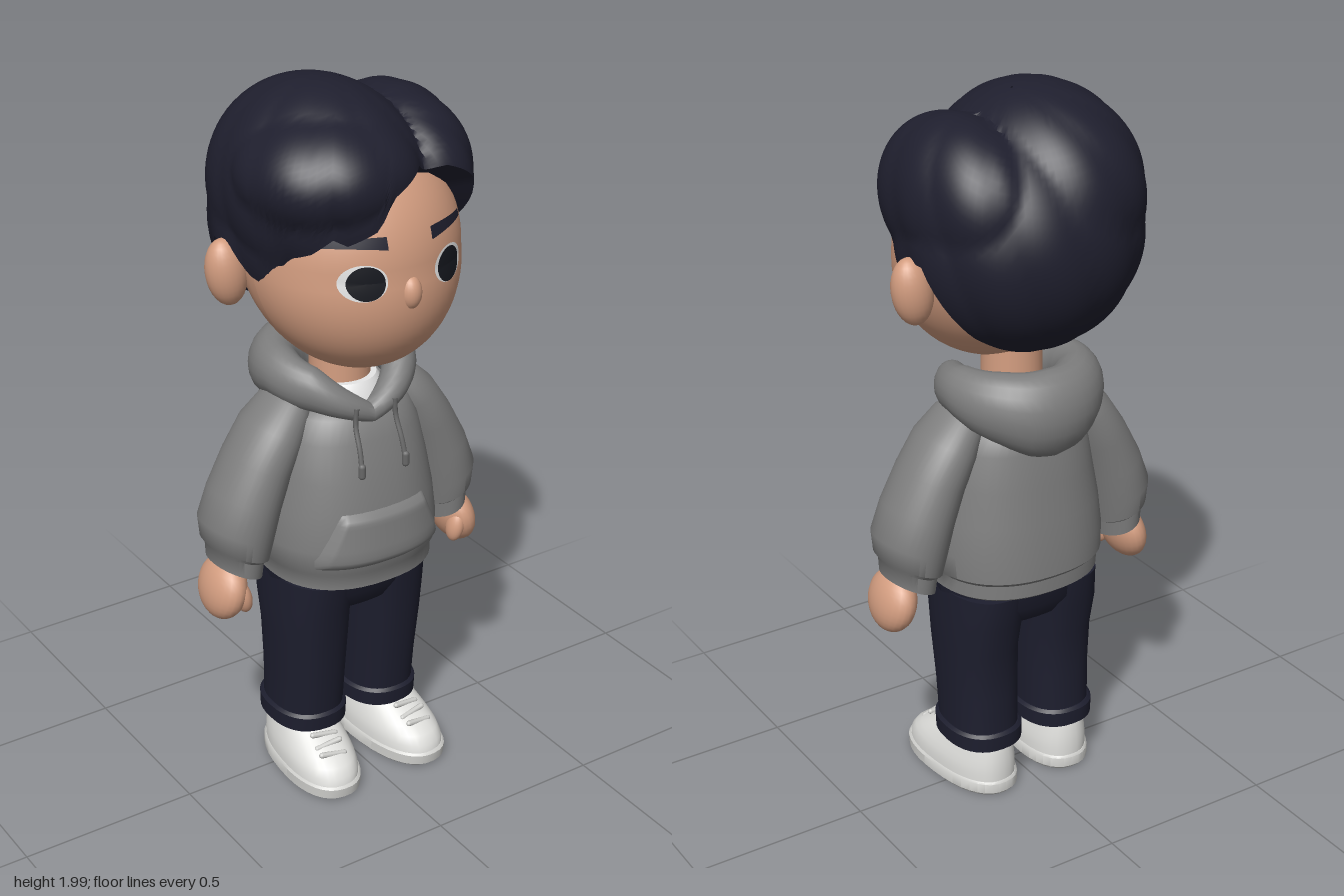
import * as THREE from 'three';
import { toCreasedNormals } from 'three/addons/utils/BufferGeometryUtils.js';

const mat = (name, color) => Object.assign(new THREE.MeshStandardMaterial({ color }), { name });
const V = (x, y, z) => new THREE.Vector3(x, y, z);

// Skins a list of rings; ring points run from +z towards +x, rings run upward
function skin(rings, { cap = true, loop = false, crease = 0.7 } = {}) {
  const n = rings[0].length, pos = [], idx = [];
  rings.forEach(r => r.forEach(p => pos.push(p.x, p.y, p.z)));
  const rows = loop ? rings.length : rings.length - 1;
  for (let i = 0; i < rows; i++) for (let j = 0; j < n; j++) {
    const a = i * n + j, b = i * n + (j + 1) % n, k = ((i + 1) % rings.length) * n;
    const c = k + (j + 1) % n, d = k + j;
    idx.push(a, b, c, a, c, d);
  }
  if (cap && !loop) [0, rings.length - 1].forEach((i, end) => {
    const m = rings[i].reduce((s, p) => s.add(p), V(0, 0, 0)).divideScalar(n);
    const ci = pos.length / 3;
    pos.push(m.x, m.y, m.z);
    for (let j = 0; j < n; j++) {
      const a = i * n + j, b = i * n + (j + 1) % n;
      end ? idx.push(a, b, ci) : idx.push(b, a, ci);
    }
  });
  const g = new THREE.BufferGeometry();
  g.setAttribute('position', new THREE.Float32BufferAttribute(pos, 3));
  g.setIndex(idx);
  return toCreasedNormals(g, crease);
}

// Rounded horizontal section: half width rx, front zf, back zb, optional sideways tilt
const pw = (v, p) => Math.sign(v) * Math.abs(v) ** p;
function section(cx, y, rx, zf, zb, { p = 1, tilt = 0, n = 36 } = {}) {
  return Array.from({ length: n }, (_, j) => {
    const a = j / n * Math.PI * 2, u = rx * pw(Math.sin(a), p);
    return V(cx + u * Math.cos(tilt), y + u * Math.sin(tilt), (zf + zb) / 2 + (zf - zb) / 2 * pw(Math.cos(a), p));
  });
}

// Linear lookup in rows of [key, ...values]
function lookup(table, t) {
  let i = 0;
  while (i < table.length - 2 && t > table[i + 1][0]) i++;
  const a = table[i], b = table[i + 1];
  const f = THREE.MathUtils.clamp((t - a[0]) / (b[0] - a[0]), 0, 1);
  return a.slice(1).map((v, k) => v + (b[k + 1] - v) * f);
}

// Torso rows: y, half width, front z, back z
const TORSO = [[0.635, 0.222, 0.215, -0.19], [0.645, 0.235, 0.232, -0.203], [0.685, 0.236, 0.232, -0.203],
  [0.697, 0.246, 0.24, -0.214], [0.76, 0.25, 0.24, -0.21], [0.85, 0.24, 0.23, -0.2], [0.95, 0.222, 0.212, -0.185],
  [1.05, 0.203, 0.185, -0.172], [1.11, 0.175, 0.16, -0.155], [1.14, 0.12, 0.12, -0.12]];
const TP = 0.85;
function torsoZ(x, y) {
  const [rx, zf, zb] = lookup(TORSO, y);
  const k = Math.max(0, 1 - Math.min(1, Math.abs(x) / rx) ** (2 / TP)) ** (TP / 2);
  return (zf + zb) / 2 + (zf - zb) / 2 * k;
}

// Head surface: an egg whose jaw is pushed forward
const jaw = y => 0.06 * Math.max(0, (1.56 - y) / 0.31);
const faceZ = (x, y) => 0.04 + jaw(y) + 0.285 * Math.sqrt(Math.max(0, 1 - (x / 0.29) ** 2 - ((y - 1.56) / 0.31) ** 2));

// Hair volumes: centre and radii of skull, swept side, fringe and smaller side
const LOBES = [[0, 1.62, -0.035, 0.322, 0.315, 0.31], [-0.07, 1.72, 0, 0.262, 0.277, 0.325],
  [-0.105, 1.79, 0.1, 0.235, 0.16, 0.235], [0.16, 1.73, 0, 0.172, 0.212, 0.27]];
function hairRadius(d) {
  let best = 0;
  for (const [x, y, z, a, b, c] of LOBES) {
    const s = V(1 / a, 1 / b, 1 / c), o = V(-x, 1.64 - y, -z).multiply(s), e = d.clone().multiply(s);
    const A = e.dot(e), B = o.dot(e), D = B * B - A * (o.dot(o) - 1);
    if (D > 0) best = Math.max(best, (-B + Math.sqrt(D)) / A);
  }
  return best;
}
// Hairline: azimuth from the front, elevation of the edge, in degrees
const HAIRLINE = [[-180, -64], [-140, -55], [-125, -42], [-115, -25], [-105, -7], [-92, -7], [-82, -20], [-72, -23],
  [-63, -13], [-55, -4], [-45, 0], [-36, 7], [-30, 4], [-17, 10], [-10, 22], [0, 27], [12, 33], [30, 28], [45, 17],
  [55, 2], [62, -8], [72, -22], [82, -20], [92, -7], [105, -7], [115, -25], [125, -42], [140, -55], [180, -64]];
function hairGeometry() {
  const rings = [], n = 120, rows = 36, rad = Math.PI / 180;
  for (let i = -1; i <= rows; i++) {
    rings.push(Array.from({ length: n }, (_, j) => {
      const deg = -180 + 360 * j / n, edge = lookup(HAIRLINE, deg)[0];
      const e = (edge + (89.5 - edge) * Math.max(0, i) / rows) * rad, a = deg * rad;
      const d = V(Math.sin(a) * Math.cos(e), Math.sin(e), Math.cos(a) * Math.cos(e));
      const lock = 0.022 * Math.abs(Math.sin(a * 6 + e * 2.2)) * Math.cos(e) ** 2;
      const r = hairRadius(d) * (0.99 + lock) * (i < 0 ? 0.78 : 1);
      return d.multiplyScalar(r).add(V(0, 1.64, 0));
    }));
  }
  return skin(rings, { cap: false, crease: 0.6 });
}

export function createModel() {
  const root = new THREE.Group();
  const M = {
    skin: mat('skin', 0xd39d80), hair: mat('hair', 0x1f1f2e), hoodie: mat('hoodie grey', 0x7e7e7e),
    cord: mat('cord grey', 0x686868), pants: mat('navy trousers', 0x1d1e2e), shoe: mat('shoe white', 0xe0e0dd),
    sole: mat('sole white', 0xd0d0cd), eyeWhite: mat('eye white', 0xe6e6e6), dark: mat('eye dark', 0x16181f),
  };
  M.hair.side = THREE.DoubleSide;
  const add = (name, geo, m, parent = root) => {
    const mesh = new THREE.Mesh(geo, m);
    mesh.name = name;
    parent.add(mesh);
    return mesh;
  };
  const ball = (name, m, c, r, rz = 0) => {
    const o = add(name, new THREE.SphereGeometry(1, 24, 16), m);
    o.position.set(...c); o.scale.set(...r); o.rotation.z = rz;
    return o;
  };
  // Moves every vertex of a flat geometry by a rule
  const bend = (g, rule) => {
    const p = g.attributes.position;
    for (let i = 0; i < p.count; i++) p.setXYZ(i, ...rule(p.getX(i), p.getY(i)));
    g.computeVertexNormals();
    return g;
  };

  // Head, neck, nose and hair
  const head = new THREE.SphereGeometry(1, 56, 40).scale(0.29, 0.31, 0.285).translate(0, 1.56, 0.04);
  const hp = head.attributes.position;
  for (let i = 0; i < hp.count; i++) hp.setZ(i, hp.getZ(i) + jaw(hp.getY(i)));
  head.computeVertexNormals();
  add('head', head, M.skin);
  add('neck', new THREE.CylinderGeometry(0.08, 0.085, 0.26, 28).translate(0, 1.21, 0), M.skin);
  ball('nose', M.skin, [0, 1.515, 0.315], [0.03, 0.045, 0.032]);
  add('hair', hairGeometry(), M.hair);

  // Hoodie body with front pocket
  add('hoodieBody', skin(TORSO.map(([y, rx, f, b]) => section(0, y, rx, f, b, { p: TP, n: 48 }))), M.hoodie);
  add('pocket', bend(new THREE.PlaneGeometry(2, 1, 32, 16), (u, v) => {
    const t = v + 0.5, y = 0.705 + 0.17 * t;
    const x = u * (t < 0.2 ? 0.2 : 0.2 - 0.07 * (t - 0.2) / 0.8);
    const rim = Math.min(1, Math.min(1 - Math.abs(u), t * 0.8, (1 - t) * 0.8) * 9);
    return [x, y, torsoZ(x, y) - 0.008 + 0.026 * rim];
  }), M.hoodie);

  // Shirt collar inside the hood
  add('shirtCollar', skin([section(0, 1.09, 0.125, 0.135, -0.11), section(0, 1.145, 0.115, 0.125, -0.1),
    section(0, 1.18, 0.095, 0.1, -0.09)]), M.eyeWhite);

  // Folded hood: angle, ring radius, height, section radii
  const HOOD = [[0, 0.16, 1.112, 0.032, 0.03], [25, 0.165, 1.15, 0.04, 0.042], [50, 0.167, 1.187, 0.046, 0.06],
    [90, 0.165, 1.205, 0.06, 0.07], [135, 0.16, 1.185, 0.075, 0.098], [160, 0.162, 1.168, 0.08, 0.115], [180, 0.162, 1.165, 0.08, 0.12]];
  add('hood', skin(Array.from({ length: 48 }, (_, i) => {
    const a = i / 48 * Math.PI * 2, [d, y, rr, ry] = lookup(HOOD, 180 - Math.abs(180 - i * 7.5));
    return Array.from({ length: 20 }, (_, j) => {
      const b = j / 20 * Math.PI * 2, r = d + rr * Math.cos(b);
      return V(r * Math.sin(a), y - ry * Math.sin(b), -0.02 + r * Math.cos(a));
    });
  }), { loop: true }), M.hoodie);

  // Hips
  add('hips', skin([[0.5, 0.09, 0.07, -0.08], [0.53, 0.17, 0.135, -0.13], [0.58, 0.222, 0.162, -0.16], [0.66, 0.23, 0.18, -0.17]]
    .map(([y, rx, f, b]) => section(0, y, rx, f, b, { p: 0.85 }))), M.pants);

  for (const s of [1, -1]) {
    const side = s > 0 ? 'left' : 'right';

    // Ear, eye and brow
    ball(side + 'Ear', M.skin, [s * 0.318, 1.52, -0.035], [0.055, 0.092, 0.05], -s * 0.15);
    const disc = (cx, cy, rx, ry, lift) => bend(new THREE.RingGeometry(0.001, 1, 32, 4), (u, v) => {
      const x = cx + u * rx, y = cy + v * ry;
      return [x, y, faceZ(x, y) + lift];
    });
    add(side + 'EyeWhite', disc(s * 0.127, 1.56, 0.057, 0.047, 0.004), M.eyeWhite);
    add(side + 'Iris', disc(s * 0.123, 1.56, 0.045, 0.044, 0.008), M.dark);
    add(side + 'Brow', bend(new THREE.PlaneGeometry(2, 1, 16, 2), (u, v) => {
      const x = s * 0.135 + u * 0.07, out = s * u;
      const y = 1.655 + 0.004 * (1 - u * u) + v * (0.024 - 0.008 * out);
      return [x, y, faceZ(x, y) + 0.007];
    }), M.hair);

    // Drawstring with tip
    const cordPts = [1.15, 1.1, 1.04, 0.985].map((y, i) => V(s * (0.06 + 0.003 * i), y, torsoZ(0.065, Math.min(y, 1.1)) + 0.014));
    add(side + 'Cord', new THREE.TubeGeometry(new THREE.CatmullRomCurve3(cordPts), 16, 0.007, 8), M.cord);
    add(side + 'CordTip', new THREE.CapsuleGeometry(0.01, 0.025, 4, 10), M.cord).position.copy(cordPts[3]);

    // Sleeve: x, y, half width, half depth, tilt
    const SLEEVE = [[0.335, 0.695, 0.055, 0.08, 0.37], [0.335, 0.688, 0.07, 0.098, 0.37], [0.333, 0.733, 0.076, 0.1, 0.37],
      [0.332, 0.745, 0.09, 0.114, 0.37], [0.328, 0.8, 0.1, 0.122, 0.37], [0.3, 0.885, 0.096, 0.12, 0.37], [0.258, 0.98, 0.088, 0.115, 0.4],
      [0.21, 1.065, 0.08, 0.11, 0.45], [0.165, 1.125, 0.062, 0.09, 0.65], [0.12, 1.16, 0.025, 0.05, 0.8]];
    add(side + 'Sleeve', skin(SLEEVE.map(([x, y, rx, rz, t]) =>
      section(s * x, y, rx, rz - 0.005, -rz - 0.005, { tilt: s * t }))), M.hoodie);

    // Hand and thumb
    ball(side + 'Hand', M.skin, [s * 0.377, 0.638, 0.004], [0.053, 0.088, 0.092], s * 0.25);
    ball(side + 'Thumb', M.skin, [s * 0.35, 0.625, 0.062], [0.024, 0.048, 0.03], -s * 0.2);

    // Trouser leg and turned-up cuff
    const limb = (name, rows, m, p = 0.85) =>
      add(name, skin(rows.map(([y, x, rx, f, b]) => section(s * x, y, rx, f, b, { p }))), m);
    limb(side + 'Leg', [[0.17, 0.118, 0.098, 0.112, -0.132], [0.3, 0.118, 0.1, 0.125, -0.128], [0.44, 0.12, 0.105, 0.142, -0.132],
      [0.54, 0.12, 0.108, 0.155, -0.155], [0.63, 0.115, 0.11, 0.17, -0.165]], M.pants);
    limb(side + 'TrouserCuff', [[0.142, 0.118, 0.098, 0.112, -0.132], [0.147, 0.118, 0.107, 0.121, -0.142],
      [0.19, 0.118, 0.108, 0.124, -0.143], [0.198, 0.118, 0.1, 0.115, -0.134]], M.pants);

    // Shoe: sole, upper and laces, turned slightly outward
    const shoe = new THREE.Group();
    shoe.name = side + 'Shoe';
    shoe.position.x = s * 0.126;
    shoe.rotation.y = s * 0.1;
    root.add(shoe);
    const last = rows => skin(rows.map(([y, rx, f, b]) => section(0, y, rx, f, b, { p: 0.85 })));
    add('sole', last([[0, 0.096, 0.245, -0.138], [0.008, 0.103, 0.257, -0.145], [0.036, 0.103, 0.26, -0.145], [0.042, 0.098, 0.253, -0.14]]), M.sole, shoe);
    add('upper', last([[0.035, 0.097, 0.252, -0.138], [0.062, 0.098, 0.247, -0.138], [0.085, 0.095, 0.228, -0.137],
      [0.105, 0.09, 0.2, -0.135], [0.125, 0.084, 0.165, -0.132], [0.145, 0.078, 0.125, -0.128], [0.165, 0.07, 0.095, -0.12]]), M.shoe, shoe);
    for (let i = 0; i < 3; i++) {
      const lace = add('lace', new THREE.CapsuleGeometry(0.008, 0.07, 4, 8), M.sole, shoe);
      lace.position.set(0, 0.108 + i * 0.016, 0.188 - i * 0.028);
      lace.rotation.z = Math.PI / 2 + (i % 2 ? 0.15 : -0.15);
    }
  }
  return root;
}
